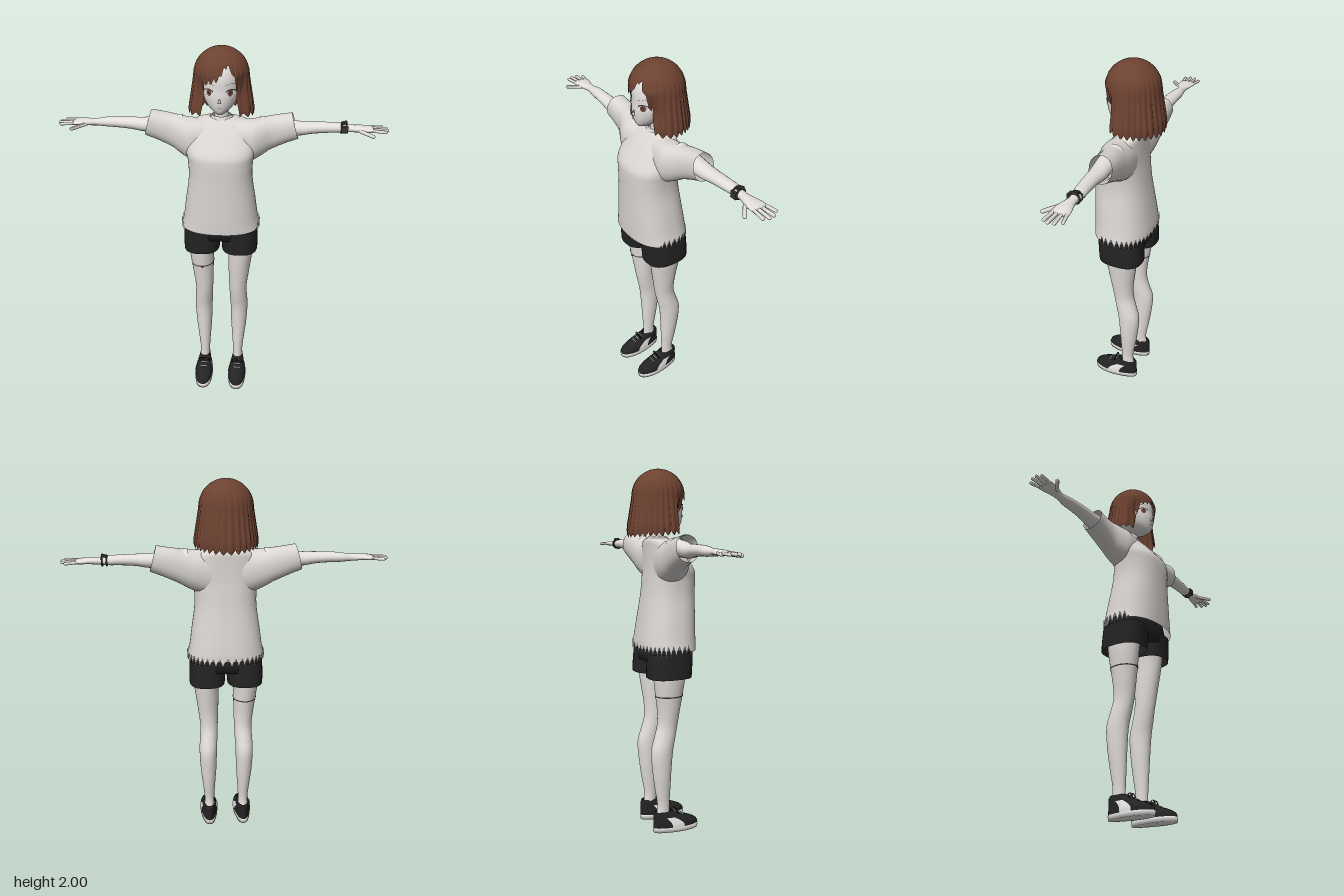
import * as THREE from 'three';

const mat = (name, color, side = THREE.FrontSide) => {
  const m = new THREE.MeshStandardMaterial({ color, side });
  m.name = name;
  return m;
};
const D = THREE.DoubleSide;
const skin = mat('pale skin', 0xe2dedb), cloth = mat('shirt cloth', 0xd9d5d1, D), brown = mat('brown hair', 0x6d4231, D);
const black = mat('black fabric', 0x232324, D), white = mat('white trim', 0xe8e6e4, D), dark = mat('dark lines', 0x383233, D);
const iris = mat('iris brown', 0x7d4a3c, D), red = mat('red accent', 0xa8504a, D);

// Smoothly subdivide cross-section rows
function resample(rows, k) {
  const w = rows[0].length, out = [];
  const cubic = new THREE.CubicInterpolant(rows.map((_, i) => i), rows.flat(), w);
  for (let i = 0; i <= (rows.length - 1) * k; i++) out.push([...cubic.evaluate(i / k)]);
  return out;
}

// Skin a grid of points; rows ascend, columns run front -> +x -> back
function grid(rows, n, closed, point) {
  const pos = [], idx = [], cols = closed ? n : n + 1;
  for (let r = 0; r < rows; r++) for (let c = 0; c < cols; c++) pos.push(...point(r, c / n));
  for (let r = 0; r < rows - 1; r++) for (let c = 0; c < n; c++) {
    const a = r * cols + c, b = r * cols + (c + 1) % cols;
    idx.push(a, b, b + cols, a, b + cols, a + cols);
  }
  const g = new THREE.BufferGeometry();
  g.setAttribute('position', new THREE.Float32BufferAttribute(pos, 3));
  g.setIndex(idx);
  g.computeVertexNormals();
  return g;
}

// Rows are [height, centre x, half width, back z, front z]
function loft(rows, { n = 32, p = 2, k = 4, a0 = 0, a1 = Math.PI * 2, mod } = {}) {
  const R = resample(rows, k), full = a1 - a0 > 6.28;
  const pw = v => Math.sign(v) * Math.abs(v) ** (2 / p);
  return grid(R.length, n, full, (r, u) => {
    const a = a0 + (a1 - a0) * u, [y, cx, rx, zb, zf] = R[r];
    const v = [cx + Math.max(rx, 0) * pw(Math.sin(a)), y, (zb + zf) / 2 + (zf - zb) / 2 * pw(Math.cos(a))];
    return mod ? mod(v, a, r / (R.length - 1)) : v;
  });
}
// Same, along +x: rows are [x, centre y, half height, back z, front z]
const loftX = (rows, o) => loft(rows.map(([x, y, ...q]) => [x, -y, ...q]), o).rotateZ(-Math.PI / 2);

function mirrored(g) {
  const m = g.clone().scale(-1, 1, 1), ix = m.index.array;
  for (let i = 0; i < ix.length; i += 3) [ix[i], ix[i + 1]] = [ix[i + 1], ix[i]];
  m.computeVertexNormals();
  return m;
}

// Rounded stick between two points
function stick(a, b, r) {
  const A = new THREE.Vector3(...a), d = new THREE.Vector3(...b).sub(A);
  const q = new THREE.Quaternion().setFromUnitVectors(new THREE.Vector3(0, 1, 0), d.clone().normalize());
  const m = A.addScaledVector(d, 0.5);
  return new THREE.CapsuleGeometry(r, d.length(), 4, 8).applyQuaternion(q).translate(m.x, m.y, m.z);
}

export function createModel() {
  const model = new THREE.Group();
  const add = (name, geo, m) => {
    const mesh = new THREE.Mesh(geo, m);
    mesh.name = name;
    model.add(mesh);
  };
  const pair = (name, geo, m) => {
    add(name + 'Left', geo, m);
    add(name + 'Right', mirrored(geo), m);
  };

  // Head and neck
  const headRows = [[1.676, 0, 0, 0.07, 0.09], [1.682, 0, 0.022, 0.03, 0.105], [1.7, 0, 0.047, -0.02, 0.118],
    [1.73, 0, 0.074, -0.06, 0.126], [1.77, 0, 0.092, -0.085, 0.129], [1.81, 0, 0.099, -0.1, 0.126],
    [1.86, 0, 0.101, -0.11, 0.125], [1.91, 0, 0.09, -0.1, 0.108], [1.95, 0, 0.06, -0.07, 0.07], [1.97, 0, 0, 0, 0]];
  add('head', loft(headRows), skin);
  add('neck', loft([[1.56, 0, 0.05, -0.055, 0.035], [1.62, 0, 0.037, -0.045, 0.025], [1.74, 0, 0.036, -0.045, 0.03]]), skin);
  add('nose', new THREE.ConeGeometry(0.009, 0.03, 6).rotateX(-0.25).translate(0, 1.765, 0.131), skin);

  // Thin painted plates that follow the face
  const fine = resample(headRows, 4);
  const faceZ = (x, y) => {
    const i = Math.max(1, fine.findIndex(r => r[0] >= y)), a = fine[i - 1], b = fine[i];
    const [, , hx, zb, zf] = a.map((v, j) => THREE.MathUtils.lerp(v, b[j], (y - a[0]) / (b[0] - a[0])));
    return (zb + zf) / 2 + (zf - zb) / 2 * Math.sqrt(Math.max(0, 1 - (x / hx) ** 2));
  };
  const plate = (g, x, y, lift) => {
    g.translate(x, y, 0);
    const p = g.attributes.position;
    for (let i = 0; i < p.count; i++) p.setZ(i, faceZ(p.getX(i), p.getY(i)) + lift);
    g.computeVertexNormals();
    return g;
  };
  const oval = (w, h) => new THREE.CircleGeometry(1, 20).scale(w, h, 1);
  const arc = (r, t, h) => new THREE.RingGeometry(r - t, r, 16, 1, 0.35, Math.PI - 0.7).scale(1, h, 1);
  pair('eyeWhite', plate(oval(0.021, 0.017), 0.054, 1.798, 0.002), white);
  pair('iris', plate(oval(0.013, 0.017), 0.053, 1.798, 0.004), iris);
  pair('pupil', plate(oval(0.006, 0.009), 0.053, 1.799, 0.006), dark);
  pair('upperLash', plate(arc(0.027, 0.006, 0.75), 0.055, 1.798, 0.006), dark);
  pair('eyebrow', plate(arc(0.028, 0.003, 0.5), 0.055, 1.83, 0.003), brown);
  add('mouth', plate(oval(0.011, 0.002), 0, 1.722, 0.004), red);

  // Bobbed hair: one shell whose lower edge varies around the head
  const edge = [[-180, 1.64], [-52, 1.66], [-44, 1.76], [-34, 1.83], [-18, 1.84], [-3, 1.855], [8, 1.9], [17, 1.92],
    [26, 1.89], [36, 1.83], [43, 1.76], [51, 1.66], [180, 1.64]];
  const hem = d => {
    const i = Math.max(1, edge.findIndex(e => e[0] >= d)), [a, p] = edge[i - 1], [b, q] = edge[i];
    return p + (q - p) * (d - a) / (b - a);
  };
  const hairRows = 24, strands = 30;
  add('hair', grid(hairRows, 240, true, (r, u) => {
    const d = u * 360 - (u > 0.5 ? 360 : 0), a = u * Math.PI * 2, t = r / (hairRows - 1);
    const saw = Math.abs(((u * strands + 0.25 * Math.sin(3 * a)) % 1 + 1) % 1 - 0.4) / 0.6;
    const low = hem(d) + 0.025 * saw;
    const y = low + (2 - low) * (1 - (1 - t) ** 2);
    let R = y > 1.86 ? 0.142 * Math.sqrt(Math.max(0, 1 - ((y - 1.86) / 0.14) ** 2)) : 0.142 + (1.86 - y) * 0.17;
    R -= Math.max(0, 1.69 - y) * 0.3;
    const down = THREE.MathUtils.clamp((1.95 - y) / 0.15, 0, 1);
    R *= 1 - 0.045 * saw * (0.2 + down);
    R *= 1 - 0.26 * Math.exp(-(((Math.abs(d) - 47) / 17) ** 2)) * THREE.MathUtils.clamp((1.88 - y) / 0.1, 0, 1);
    return [R * Math.sin(a), y, R * Math.cos(a) - 0.005];
  }), brown);

  // Loose shirt with a ragged back hem and wide open sleeves
  const zig = (a, n) => Math.abs(((a * n / (2 * Math.PI)) % 1 + 1) % 1 - 0.5) * 2;
  add('shirtBody', loft([[1.04, 0, 0.213, -0.13, 0.186], [1.1, 0, 0.2, -0.125, 0.187], [1.2, 0, 0.186, -0.11, 0.187],
    [1.33, 0, 0.168, -0.09, 0.187], [1.42, 0, 0.17, -0.08, 0.187], [1.47, 0, 0.178, -0.075, 0.18],
    [1.52, 0, 0.18, -0.072, 0.145], [1.58, 0, 0.165, -0.07, 0.098], [1.625, 0, 0.13, -0.068, 0.056],
    [1.64, 0, 0.06, -0.055, 0.035]], {
    n: 160, p: 2.35,
    mod: ([x, y, z], a, t) => [x, y + (t === 0 && Math.cos(a) < 0.45 ? 0.055 * zig(a, 40) - 0.015 : 0), z]
  }), cloth);
  const sleeve = loftX([[0.08, 1.51, 0.12, -0.066, 0.1], [0.16, 1.525, 0.11, -0.07, 0.105], [0.21, 1.54, 0.1, -0.07, 0.085],
    [0.26, 1.56, 0.088, -0.07, 0.06], [0.32, 1.58, 0.076, -0.07, 0.052], [0.382, 1.597, 0.067, -0.068, 0.052]], { p: 2.2 });
  const sp = sleeve.attributes.position;
  for (let i = 0; i < sp.count; i++) {
    const x = sp.getX(i);
    sp.setX(i, x + (1.597 - sp.getY(i)) * 0.27 * THREE.MathUtils.clamp((x - 0.25) / 0.13, 0, 1));
  }
  sleeve.computeVertexNormals();
  pair('sleeve', sleeve, cloth);
  add('raggedCollar', loft([[1.62, 0, 0.075, -0.07, 0.062], [1.65, 0, 0.05, -0.055, 0.04]], {
    n: 48, k: 1, mod: ([x, y, z], a, t) => [x, y - (t === 0 ? 0.025 * zig(a, 12) : 0), z]
  }), cloth);

  // Arms and hands
  pair('arm', loftX([[0.2, 1.6, 0.045, -0.05, 0.05], [0.3, 1.592, 0.043, -0.05, 0.048], [0.4, 1.585, 0.037, -0.048, 0.04],
    [0.47, 1.59, 0.031, -0.043, 0.033], [0.55, 1.592, 0.027, -0.043, 0.026], [0.6, 1.591, 0.025, -0.043, 0.02],
    [0.65, 1.589, 0.019, -0.034, 0.012], [0.68, 1.589, 0.018, -0.036, 0.018], [0.715, 1.59, 0.016, -0.045, 0.03],
    [0.75, 1.589, 0.014, -0.053, 0.034], [0.775, 1.588, 0.01, -0.052, 0.032], [0.782, 1.588, 0, -0.02, 0]], { n: 20 }), skin);
  [[-0.043, 0.825, -0.056], [-0.021, 0.846, -0.025], [0.001, 0.85, 0.004], [0.022, 0.838, 0.03]].forEach(([z, x, ze], i) =>
    pair('finger' + (i + 1), stick([0.765, 1.589, z], [x, 1.586, ze], 0.0085), skin));
  pair('thumb', stick([0.71, 1.585, 0.02], [0.772, 1.577, 0.075], 0.01), skin);

  // Wristband on the left wrist
  for (const x of [0.618, 0.642])
    add('wristband', new THREE.TorusGeometry(0.026, 0.005, 6, 20).rotateY(Math.PI / 2).translate(x, 1.59, -0.012), dark);
  add('wristbandFace', new THREE.BoxGeometry(0.035, 0.035, 0.012).translate(0.632, 1.59, 0.018), dark);
  add('wristbandTop', new THREE.BoxGeometry(0.03, 0.01, 0.03).rotateZ(0.3).translate(0.632, 1.616, -0.014), dark);

  // Shorts
  add('shortsHips', loft([[0.96, 0, 0, 0, 0], [0.975, 0, 0.19, -0.1, 0.135], [1.03, 0, 0.195, -0.1, 0.145],
    [1.1, 0, 0.17, -0.09, 0.14]], { p: 2.6, k: 1 }), black);
  pair('shortsLeg', loft([[0.893, 0.105, 0.098, -0.108, 0.137], [0.95, 0.104, 0.1, -0.106, 0.14],
    [1.03, 0.102, 0.098, -0.1, 0.143]], { p: 2.6 }), black);

  // Legs
  pair('leg', loft([[0.06, 0.1, 0.03, -0.065, 0.02], [0.15, 0.099, 0.028, -0.05, 0.02], [0.25, 0.101, 0.036, -0.065, 0.024],
    [0.35, 0.103, 0.045, -0.079, 0.028], [0.47, 0.104, 0.05, -0.088, 0.037], [0.55, 0.1, 0.05, -0.068, 0.053],
    [0.62, 0.097, 0.05, -0.05, 0.066], [0.7, 0.1, 0.056, -0.05, 0.078], [0.79, 0.105, 0.063, -0.062, 0.092],
    [0.88, 0.11, 0.07, -0.074, 0.104], [1.0, 0.108, 0.08, -0.085, 0.115]], { n: 28 }), skin);
  add('thighBand', loft([[0.786, -0.105, 0.065, -0.064, 0.094], [0.793, -0.105, 0.066, -0.065, 0.095]], { k: 1 }), dark);
  add('thighCharm', new THREE.OctahedronGeometry(0.008).translate(-0.1, 0.789, 0.096), red);

  // Shoes: white sole, black upper, white side panels, laces and bow
  const heel = ([x, y, z]) => [0.1 + (x - 0.1) * (0.8 + 0.2 * THREE.MathUtils.smoothstep(z, -0.05, 0.09)), y, z];
  pair('sole', loft([[0, 0.1, 0, 0.06, 0.06], [0, 0.1, 0.051, -0.075, 0.193], [0.026, 0.1, 0.053, -0.077, 0.196],
    [0.03, 0.1, 0.04, -0.06, 0.17]], { p: 2.4, k: 1, mod: heel }), white);
  const upper = g => [[0.024, 0.1, 0.051 + g, -0.075, 0.193], [0.045, 0.1, 0.051 + g, -0.075, 0.188], [0.066, 0.1, 0.047 + g, -0.074, 0.155],
    [0.086, 0.1, 0.042 + g, -0.074, 0.1], [0.106, 0.1, 0.037 + g, -0.073, 0.055], [0.12, 0.1, 0.033 + g, -0.066, 0.035]];
  pair('shoeUpper', loft(upper(0), { p: 2.3, mod: heel }), black);
  for (const [side, mid] of [['outer', Math.PI / 2], ['inner', -Math.PI / 2]])
    pair(side + 'ShoePanel', loft(upper(0.003).slice(0, 4), { p: 2.3, n: 8, a0: mid - 0.22, a1: mid + 0.22, mod: heel }), white);
  for (let i = 0; i < 3; i++)
    pair('lace', stick([0.082, 0.088 + i * 0.012, 0.097 - i * 0.022], [0.118, 0.088 + i * 0.012, 0.097 - i * 0.022], 0.003), white);
  for (const s of [-1, 1])
    pair('laceBow', new THREE.TorusGeometry(0.012, 0.003, 6, 14).scale(1.3, 0.7, 1).rotateZ(-0.4 * s).translate(0.1 + s * 0.017, 0.112, 0.062), black);

  return model;
}
